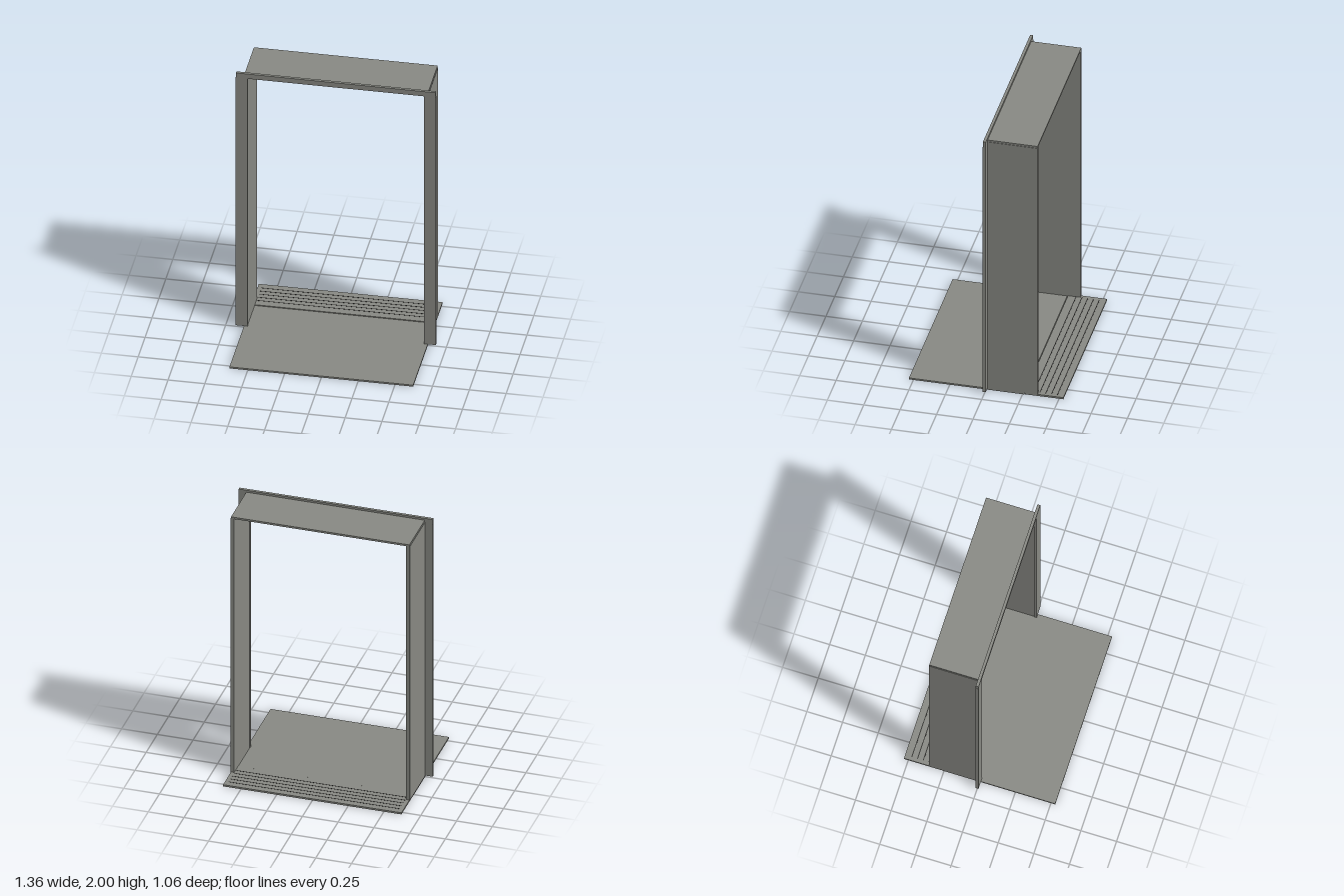
import * as THREE from 'three';

const metal = new THREE.MeshStandardMaterial({ color: 0x8a8b85 });
metal.name = 'brushed metal';
const dark = new THREE.MeshStandardMaterial({ color: 0x30302e });
dark.name = 'groove dark';

// Box given by its minimum and maximum along each axis
function slab(name, material, [x0, x1], [y0, y1], [z0, z1]) {
  const mesh = new THREE.Mesh(new THREE.BoxGeometry(x1 - x0, y1 - y0, z1 - z0), material);
  mesh.position.set((x0 + x1) / 2, (y0 + y1) / 2, (z0 + z1) / 2);
  mesh.name = name;
  return mesh;
}

export function createModel() {
  const model = new THREE.Group();
  model.name = 'doorFrame';

  // Upright jambs and their front trim, mirrored
  for (const [side, s] of [['left', 1], ['right', -1]]) {
    const span = (a, b) => (s > 0 ? [a, b] : [-b, -a]);
    model.add(slab(side + 'Jamb', metal, span(0.602, 0.627), [0.012, 1.971], [-0.353, -0.01]));
    model.add(slab(side + 'Trim', metal, span(0.598, 0.68), [0.015, 1.963], [-0.01, 0.01]));
  }

  // Header and its front trim
  model.add(slab('header', metal, [-0.624, 0.624], [1.971, 1.985], [-0.353, -0.01]));
  model.add(slab('headerTrim', metal, [-0.678, 0.678], [1.963, 2], [-0.01, 0.01]));

  // Floor plate in front, sill behind
  model.add(slab('floorPlate', metal, [-0.624, 0.624], [0, 0.012], [-0.262, 0.53]));
  model.add(slab('sill', metal, [-0.624, 0.624], [0.002, 0.015], [-0.53, -0.267]));

  // Door tracks along the sill
  for (let i = 0; i < 5; i++) {
    const z = -0.483 + i * 0.04;
    model.add(slab('sillTrack' + (i + 1), dark, [-0.6, 0.6], [0.013, 0.016], [z - 0.003, z + 0.003]));
  }
  return model;
}
